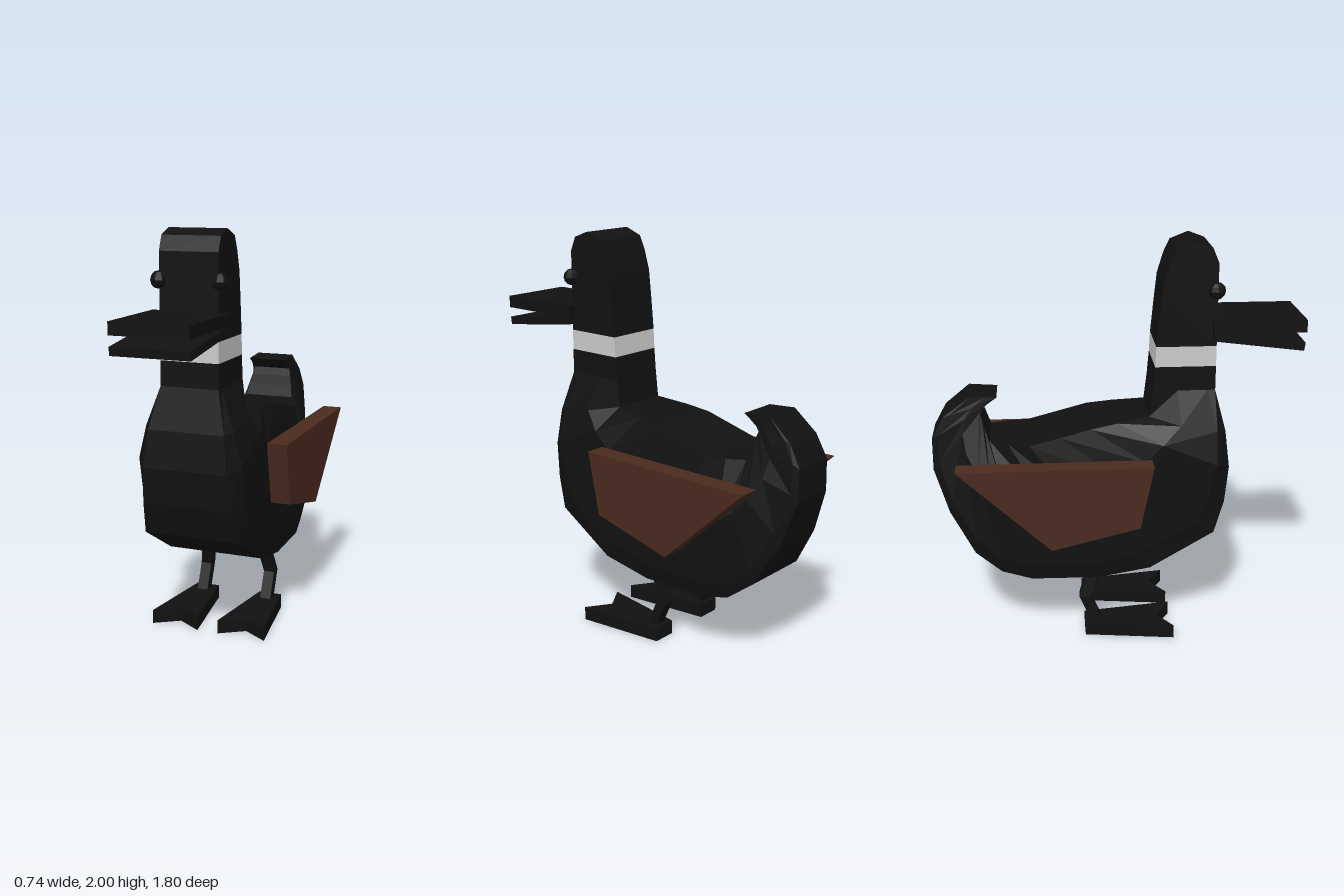
import * as THREE from 'three';

const material = (color) => new THREE.MeshStandardMaterial({ color, flatShading: true, side: THREE.DoubleSide });
const black = material(0x111111);
const brown = material(0x4a2a1f);
const grey = material(0xcccccc);

function addMesh(parent, name, geometry, mat) {
  const mesh = new THREE.Mesh(geometry, mat);
  mesh.name = name;
  parent.add(mesh);
  return mesh;
}

function extrude(points, depth) {
  const shape = new THREE.Shape(points.map(([a, b]) => new THREE.Vector2(a, b)));
  return new THREE.ExtrudeGeometry(shape, { depth, bevelEnabled: false });
}

// Extrudes a side profile of [z, y] points across x, centred on x
function sideSlab(points, width, x = 0) {
  return extrude(points, width).rotateY(-Math.PI / 2).translate(x + width / 2, 0, 0);
}

// Joins rings of equal point count into a closed skin
function loft(rings) {
  const n = rings[0].length;
  const pos = [];
  const tri = (...pts) => pts.forEach((p) => pos.push(...p));
  for (let s = 0; s < rings.length - 1; s++) {
    const p = rings[s], q = rings[s + 1];
    for (let i = 0; i < n; i++) {
      const j = (i + 1) % n;
      tri(p[i], q[i], p[j]);
      tri(p[j], q[i], q[j]);
    }
  }
  const first = rings[0], last = rings[rings.length - 1];
  for (let i = 1; i < n - 1; i++) {
    tri(first[0], first[i], first[i + 1]);
    tri(last[0], last[i + 1], last[i]);
  }
  const geometry = new THREE.BufferGeometry();
  geometry.setAttribute('position', new THREE.Float32BufferAttribute(pos, 3));
  geometry.computeVertexNormals();
  return geometry;
}

// Square bar between two points
function bar(from, to, t) {
  const ring = ([x, y, z]) => [[x + t, y, z + t], [x + t, y, z - t], [x - t, y, z - t], [x - t, y, z + t]];
  return loft([ring(from), ring(to)]);
}

// Each station: belly z, y; back z, y; half widths at belly, flank and back
const stations = [
  [0.48, 1.4, 0.185, 1.4, 0.145, 0.145, 0.145],
  [0.48, 1.28, 0.175, 1.28, 0.145, 0.145, 0.145],
  [0.53, 1.08, 0.16, 1.15, 0.19, 0.22, 0.145],
  [0.55, 0.9, 0.0, 1.13, 0.21, 0.26, 0.18],
  [0.53, 0.72, -0.13, 1.11, 0.22, 0.26, 0.2],
  [0.48, 0.56, -0.28, 1.07, 0.235, 0.26, 0.2],
  [0.16, 0.38, -0.43, 1.03, 0.25, 0.26, 0.2],
  [-0.1, 0.33, -0.53, 1.035, 0.24, 0.26, 0.17],
  [-0.43, 0.33, -0.62, 1.04, 0.23, 0.25, 0.13],
  [-0.58, 0.36, -0.64, 1.1, 0.2, 0.225, 0.12],
  [-0.71, 0.46, -0.655, 1.15, 0.18, 0.2, 0.11],
  [-0.83, 0.67, -0.67, 1.19, 0.14, 0.16, 0.1],
  [-0.9, 0.89, -0.65, 1.2, 0.115, 0.13, 0.1],
  [-0.9, 1.05, -0.63, 1.215, 0.11, 0.12, 0.1],
  [-0.84, 1.16, -0.61, 1.23, 0.105, 0.11, 0.1],
  [-0.72, 1.26, -0.58, 1.25, 0.1, 0.1, 0.1],
];

function bodyRing([az, ay, bz, by, wa, w, wb]) {
  const at = (t, x) => [x, ay + (by - ay) * t, az + (bz - az) * t];
  const half = [at(0, wa), at(0.12, w), at(0.6, w), at(1, wb)];
  return [...half, ...half.map(([x, y, z]) => [-x, y, z]).reverse()];
}

export function createModel() {
  const model = new THREE.Group();
  model.name = 'duck';

  // Neck, body and curled tail in one skin
  addMesh(model, 'body', loft(stations.map(bodyRing)), black);

  // Collar and head
  addMesh(model, 'collar', sideSlab([[0.48, 1.4], [0.48, 1.5], [0.19, 1.5], [0.185, 1.4]].reverse(), 0.29), grey);
  addMesh(model, 'head', sideSlab([
    [0.48, 1.5], [0.48, 1.9], [0.45, 1.97], [0.37, 2], [0.28, 1.965],
    [0.25, 1.9], [0.22, 1.8], [0.205, 1.66], [0.19, 1.5],
  ], 0.29), black);

  // Open beak
  addMesh(model, 'upperBeak', sideSlab([[0.46, 1.57], [0.905, 1.57], [0.905, 1.63], [0.46, 1.63]], 0.38), black);
  addMesh(model, 'lowerBeak', sideSlab([[0.46, 1.535], [0.895, 1.48], [0.9, 1.52], [0.46, 1.575]], 0.38), black);

  for (const [side, s] of [['left', 1], ['right', -1]]) {
    const eye = addMesh(model, side + 'Eye', new THREE.SphereGeometry(0.042, 8, 6), black);
    eye.position.set(s * 0.15, 1.77, 0.473);

    // Wing stands a little off the flank
    addMesh(model, side + 'Wing', sideSlab(
      [[0.165, 0.97], [-0.78, 0.97], [-0.33, 0.55], [0.1, 0.655]], 0.1, s * 0.318), brown);

    // Bent leg
    const leg = new THREE.Group();
    leg.name = side + 'Leg';
    model.add(leg);
    addMesh(leg, 'upperLeg', bar([s * 0.15, 0.38, -0.11], [s * 0.178, 0.2, -0.165], 0.028), black);
    addMesh(leg, 'lowerLeg', bar([s * 0.178, 0.2, -0.165], [s * 0.178, 0.05, -0.1], 0.028), black);

    // Webbed foot with a notch between the toes
    const foot = extrude([[-0.06, -0.165], [0.06, -0.165], [0.123, 0.28], [0, 0.2], [-0.123, 0.28]], 0.07);
    foot.rotateX(Math.PI / 2).translate(s * 0.178, 0.07, 0);
    addMesh(leg, 'foot', foot, black);
  }
  return model;
}
